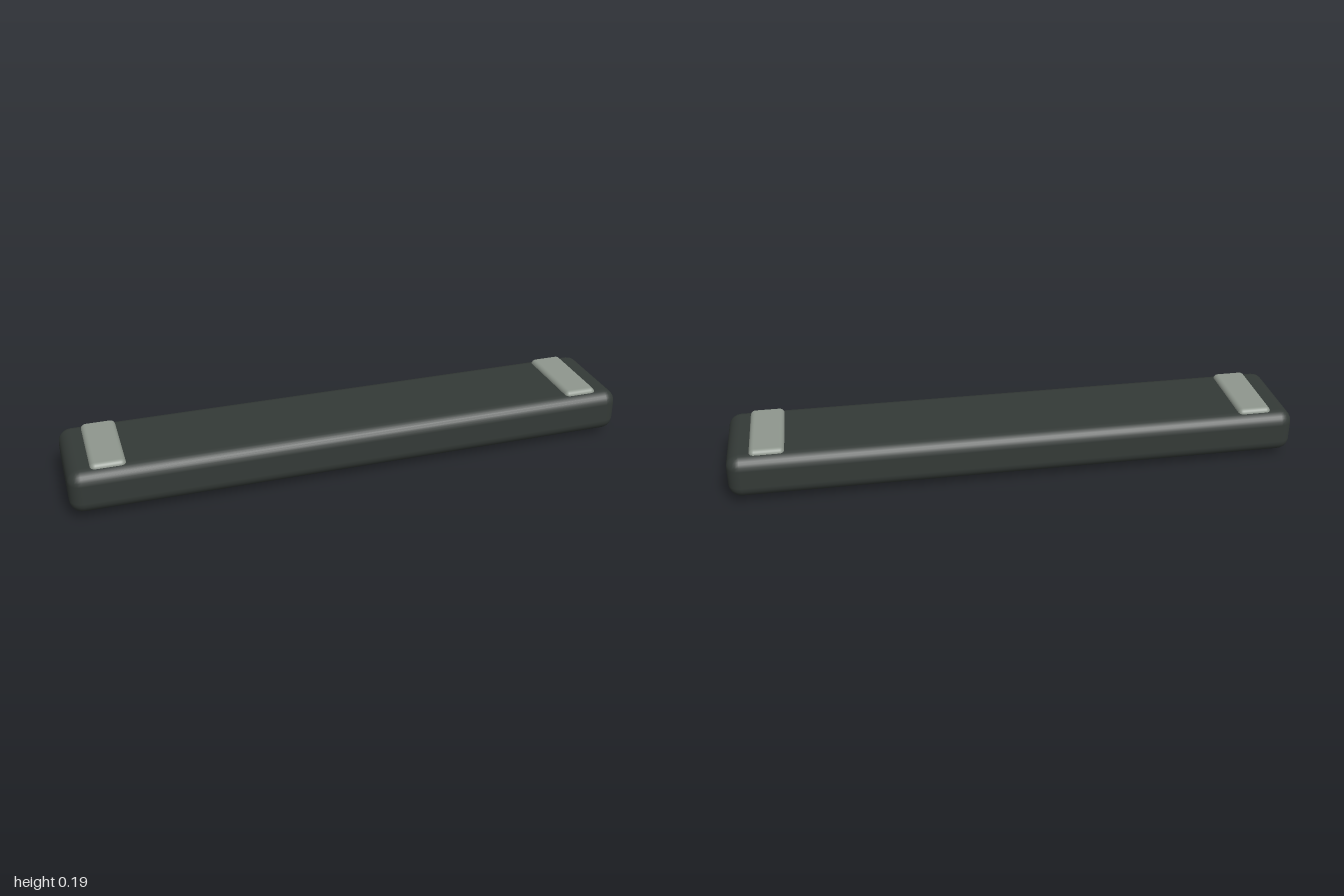
import * as THREE from 'three';
import { RoundedBoxGeometry } from 'three/addons/geometries/RoundedBoxGeometry.js';

export function createModel() {
  const model = new THREE.Group();
  model.name = 'lightBar';
  const dark = new THREE.MeshStandardMaterial({ color: 0x343a37 });
  const pale = new THREE.MeshStandardMaterial({ color: 0x8f978e });

  // Rounded slab placed by its bottom and top heights
  function slab(name, material, x, width, bottom, top, depth, radius, segments) {
    const geometry = new RoundedBoxGeometry(width, top - bottom, depth, segments, radius);
    const mesh = new THREE.Mesh(geometry, material);
    mesh.name = name;
    mesh.position.set(x, (bottom + top) / 2, 0);
    model.add(mesh);
  }

  // Long housing
  slab('housing', dark, 0, 2, 0.021, 0.176, 0.369, 0.045, 3);

  // Panel under the housing
  slab('lowerPanel', pale, 0, 1.66, 0, 0.04, 0.245, 0.018, 3);

  // Mounting pads on top, one near each end
  for (const side of [-1, 1]) {
    slab(side > 0 ? 'leftPad' : 'rightPad', pale, side * 0.861, 0.12, 0.15, 0.19, 0.307, 0.018, 3);
  }

  return model;
}
